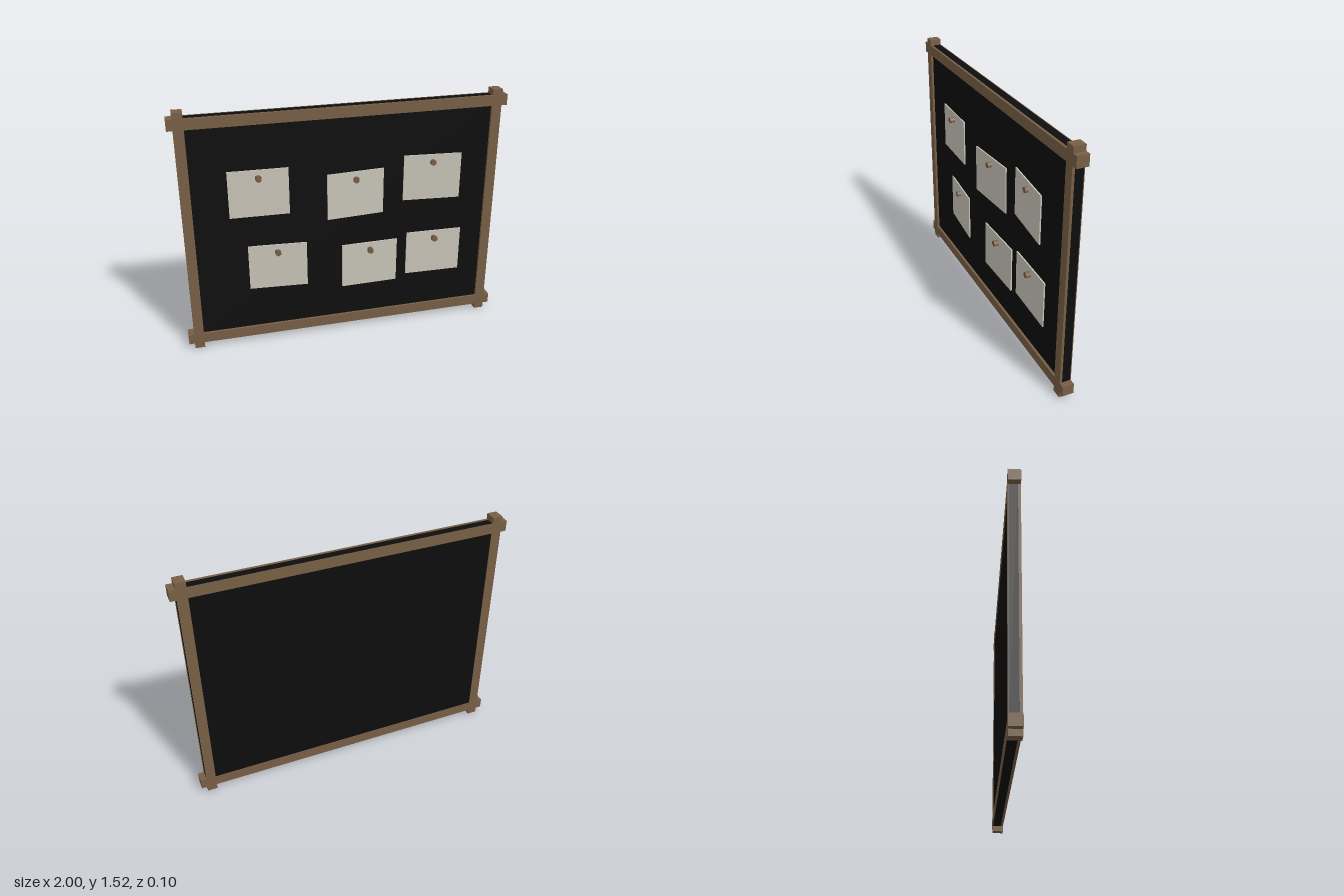
import * as THREE from 'three';

const wood = new THREE.MeshStandardMaterial({ color: 0x775e45 });
wood.name = 'brown wood';
const black = new THREE.MeshStandardMaterial({ color: 0x0d0d0d });
black.name = 'black board';
const paper = new THREE.MeshStandardMaterial({ color: 0xc8c4b8 });
paper.name = 'pale paper';

const BACK = -0.05, FRONT = 0.02;          // frame depth
const BOARD_BACK = -0.046, BOARD_FRONT = 0.005;

// Box given by its limits on each axis
function block(name, material, [x0, x1], [y0, y1], [z0, z1]) {
  const mesh = new THREE.Mesh(new THREE.BoxGeometry(x1 - x0, y1 - y0, z1 - z0), material);
  mesh.position.set((x0 + x1) / 2, (y0 + y1) / 2, (z0 + z1) / 2);
  mesh.name = name;
  return mesh;
}

export function createModel() {
  const model = new THREE.Group();
  model.name = 'noticeBoard';

  // Black panel, its edges showing between the front and back rails
  model.add(block('panel', black, [-0.963, 0.963], [0.037, 1.483], [BOARD_BACK, BOARD_FRONT]));

  // Rails on the front and back faces
  const frame = new THREE.Group();
  frame.name = 'frame';
  for (const [side, z] of [['front', [BOARD_FRONT, FRONT]], ['back', [BACK, BOARD_BACK]]]) {
    frame.add(block(side + 'BottomRail', wood, [-0.905, 0.905], [0.035, 0.1], z));
    frame.add(block(side + 'TopRail', wood, [-0.905, 0.905], [1.42, 1.485], z));
    frame.add(block(side + 'LeftRail', wood, [0.905, 0.965], [0.1, 1.42], z));
    frame.add(block(side + 'RightRail', wood, [-0.965, -0.905], [0.1, 1.42], z));
  }

  // Crossed corner ends, full depth
  for (const sx of [-1, 1]) {
    const xs = (a, b) => (sx > 0 ? [a, b] : [-b, -a]);
    for (const top of [false, true]) {
      const ys = (a, b) => (top ? [1.52 - b, 1.52 - a] : [a, b]);
      const corner = new THREE.Group();
      corner.name = (top ? 'top' : 'bottom') + (sx > 0 ? 'Left' : 'Right') + 'Corner';
      corner.add(block('railEnd', wood, xs(0.905, 1), ys(0.035, 0.1), [BACK, FRONT]));
      corner.add(block('postEnd', wood, xs(0.905, 0.965), ys(0, 0.1), [BACK, FRONT]));
      frame.add(corner);
    }
  }
  model.add(frame);

  // Pinned notes: centre x, centre y, centre z, turn about y
  const notes = [
    [-0.517, 1.005, 0.016, -0.03],
    [0.063, 0.94, 0.022, 0.08],
    [0.543, 1.005, 0.026, -0.09],
    [-0.422, 0.515, 0.02, -0.08],
    [0.158, 0.455, 0.016, 0.02],
    [0.578, 0.485, 0.016, -0.03],
  ];
  const noteGeometry = new THREE.BoxGeometry(0.355, 0.29, 0.008);
  const pinGeometry = new THREE.CylinderGeometry(0.019, 0.019, 0.035, 6).rotateX(Math.PI / 2);
  notes.forEach(([x, y, z, turn], i) => {
    const note = new THREE.Mesh(noteGeometry, paper);
    note.name = 'note' + (i + 1);
    note.position.set(x, y, z);
    note.rotation.y = turn;
    const pin = new THREE.Mesh(pinGeometry, wood);
    pin.name = 'pin' + (i + 1);
    pin.position.set(x, y + 0.097, 0.0325);
    model.add(note, pin);
  });

  return model;
}
